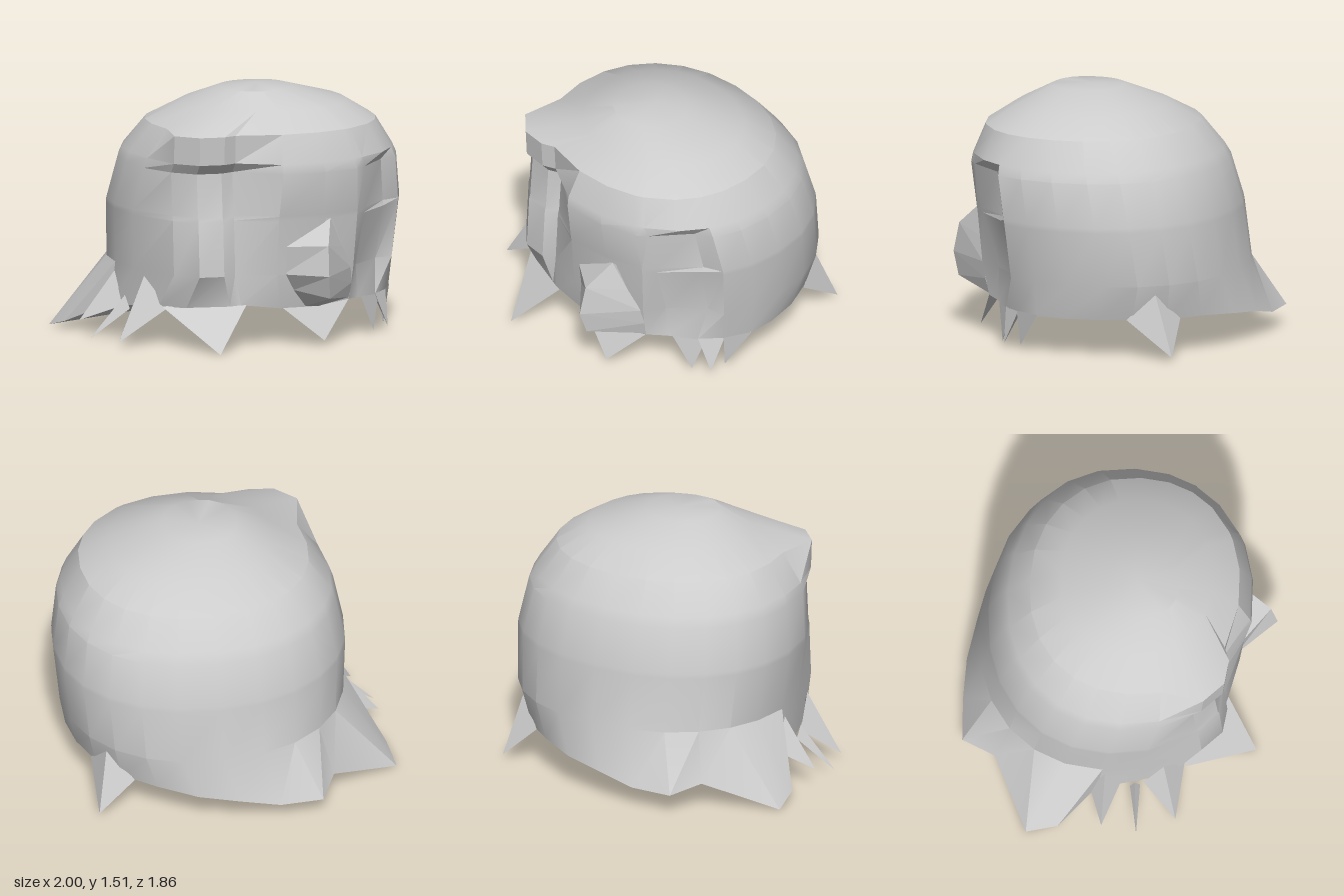
import * as THREE from 'three';
import { toCreasedNormals } from 'three/addons/utils/BufferGeometryUtils.js';

const plaster = new THREE.MeshStandardMaterial({ color: 0xcccccc, side: THREE.DoubleSide });
plaster.name = 'grey plaster';

// Triangles given as arrays of three points
function facetMesh(name, tris, crease) {
  const geo = new THREE.BufferGeometry();
  geo.setAttribute('position', new THREE.Float32BufferAttribute(tris.flat(2), 3));
  geo.computeVertexNormals();
  const mesh = new THREE.Mesh(crease ? toCreasedNormals(geo, crease) : geo, plaster);
  mesh.name = name;
  return mesh;
}

// Column directions in degrees, from +x round through the front (+z)
const ANGLES = [0, 14, 28, 42, 59, 64, 80, 96, 112, 116, 132, 148, 164,
  180, 195, 210, 225, 240, 255, 270, 285, 300, 315, 330, 345];

// Ragged lower rim, one point per column, flaring at the back corner
const RIM = [
  [.93, .24, -.03], [.92, .24, .15], [.85, .24, .29], [.74, .24, .41], [.59, .25, .52],
  [.5, .26, .61], [.28, .24, .67], [.04, .24, .67], [-.2, .27, .65], [-.26, .26, .62],
  [-.5, .25, .52], [-.63, .24, .38], [-.71, .22, .16], [-.76, .19, -.1], [-.97, .06, -.32],
  [-1, .01, -.51], [-.58, .16, -.72], [-.48, .13, -.92], [-.22, .13, -.93], [.02, .18, -.92],
  [.27, .21, -.87], [.5, .23, -.75], [.69, .23, -.6], [.82, .24, -.43], [.9, .24, -.23],
];

// Cross-sections: y, xMin, xMax, zMin, zMax
const ROWS = [
  [.45, -.74, .97, -.85, .72],
  [.78, -.76, 1, -.8, .745],
  [.81, -.76, 1, -.795, .75],
  [1.07, -.71, .96, -.72, .79],
  [1.13, -.69, .93, -.68, .78],
  [1.3, -.56, .82, -.55, .71],
  [1.41, -.35, .64, -.36, .54],
  [1.505, -.14, .3, -.08, .35],
];
// Chamfered left cheek and eye: inward shift per row, by column angle
const CHEEK = { 59: [.1, .03, .03, .02], 42: [.13, .08, .1, .1] };
// Boxy lock beside the right eye: x, z by column angle, with a dent under the brow
const LOCK = { 112: [-.23, .64], 116: [-.31, .67], 132: [-.46, .65], 148: [-.58, .53] };
const BROW_ROW = 5;
const DENT = [.01, .03, .04, .06, .01, 0];

const signedPow = (v, p) => Math.sign(v) * Math.abs(v) ** p;

function sectionPoint([y, x0, x1, z0, z1], row, deg) {
  if (LOCK[deg] && row <= BROW_ROW) return [LOCK[deg][0], y, LOCK[deg][1] - DENT[row]];
  const a = THREE.MathUtils.degToRad(deg), p = .92;
  const inset = CHEEK[deg]?.[row] ?? 0;
  const x = (x0 + x1) / 2 + (x1 - x0) / 2 * signedPow(Math.cos(a), p);
  const z = (z0 + z1) / 2 + (z1 - z0) / 2 * signedPow(Math.sin(a), p);
  return [x, y, z - inset];
}

function buildShell() {
  const rings = [RIM, ...ROWS.map((r, k) => ANGLES.map((d) => sectionPoint(r, k, d)))];
  const n = ANGLES.length, tris = [];
  for (let k = 0; k < rings.length - 1; k++) {
    for (let i = 0; i < n; i++) {
      const j = (i + 1) % n;
      const a = rings[k][i], b = rings[k][j], c = rings[k + 1][i], d = rings[k + 1][j];
      tris.push([b, a, c], [b, c, d]);
    }
  }
  // Crown
  const top = rings.at(-1), apex = [.1, 1.52, .1];
  top.forEach((p, i) => tris.push([top[(i + 1) % n], p, apex]));
  return facetMesh('head', tris, .42);
}

function buildUnderside() {
  const centre = [.1, .22, -.03];
  return facetMesh('underside', RIM.map((p, i) => [p, RIM[(i + 1) % RIM.length], centre]));
}

// Pointed lock: tip, two roots on the rim, and a third root above or behind them
function spike([tip, a, b, c]) {
  return facetMesh('spike', [[a, b, tip], [b, c, tip], [c, a, tip]]);
}

const SPIKES = [
  [[-.4, .01, .84], [-.62, .25, .42], [-.17, .27, .66], [-.4, .26, .5]],
  [[.3, .04, .74], [.06, .24, .67], [.5, .26, .61], [.28, .25, .6]],
  [[.72, .03, .44], [.62, .25, .5], [.78, .25, .37], [.68, .24, .38]],
  [[.83, .04, .39], [.74, .25, .41], [.85, .25, .29], [.76, .24, .3]],
  [[.84, .04, .28], [.85, .25, .3], [.93, .25, .14], [.82, .24, .2]],
  [[.84, .03, -.69], [.62, .23, -.66], [.84, .24, -.4], [.77, .42, -.55]],
  [[-.88, .04, .38], [-.58, .24, .42], [-.72, .22, .18], [-.69, .42, .3]],
  [[-.98, .03, .15], [-.73, .2, .16], [-.74, .2, .1], [-.75, .28, .13]],
  [[-.97, .11, -.06], [-.73, .2, .04], [-.76, .2, -.14], [-.75, .4, -.05]],
];

function buildNose() {
  // Ridge runs down the middle; sides fan out to the face
  const ridge = [[.34, .78, .73], [.27, .64, .89], [.26, .46, .93], [.28, .32, .89], [.29, .24, .67]];
  const sides = [
    [[.05, .78, .73], [.05, .62, .72], [.05, .45, .7], [.12, .35, .69], [.2, .24, .66]],
    [[.36, .77, .72], [.43, .6, .69], [.5, .46, .65], [.51, .36, .63], [.5, .27, .61]],
  ];
  const tris = [];
  sides.forEach((side, s) => {
    for (let i = 0; i < ridge.length - 1; i++) {
      const pair = [[ridge[i], side[i], side[i + 1]], [ridge[i], side[i + 1], ridge[i + 1]]];
      tris.push(...(s ? pair.map((t) => t.reverse()) : pair));
    }
  });
  return facetMesh('nose', tris);
}

export function createModel() {
  const model = new THREE.Group();
  model.name = 'lowPolyHead';
  model.add(buildShell(), buildUnderside(), buildNose());
  const spikes = new THREE.Group();
  spikes.name = 'spikes';
  SPIKES.forEach((points) => spikes.add(spike(points)));
  model.add(spikes);
  return model;
}
